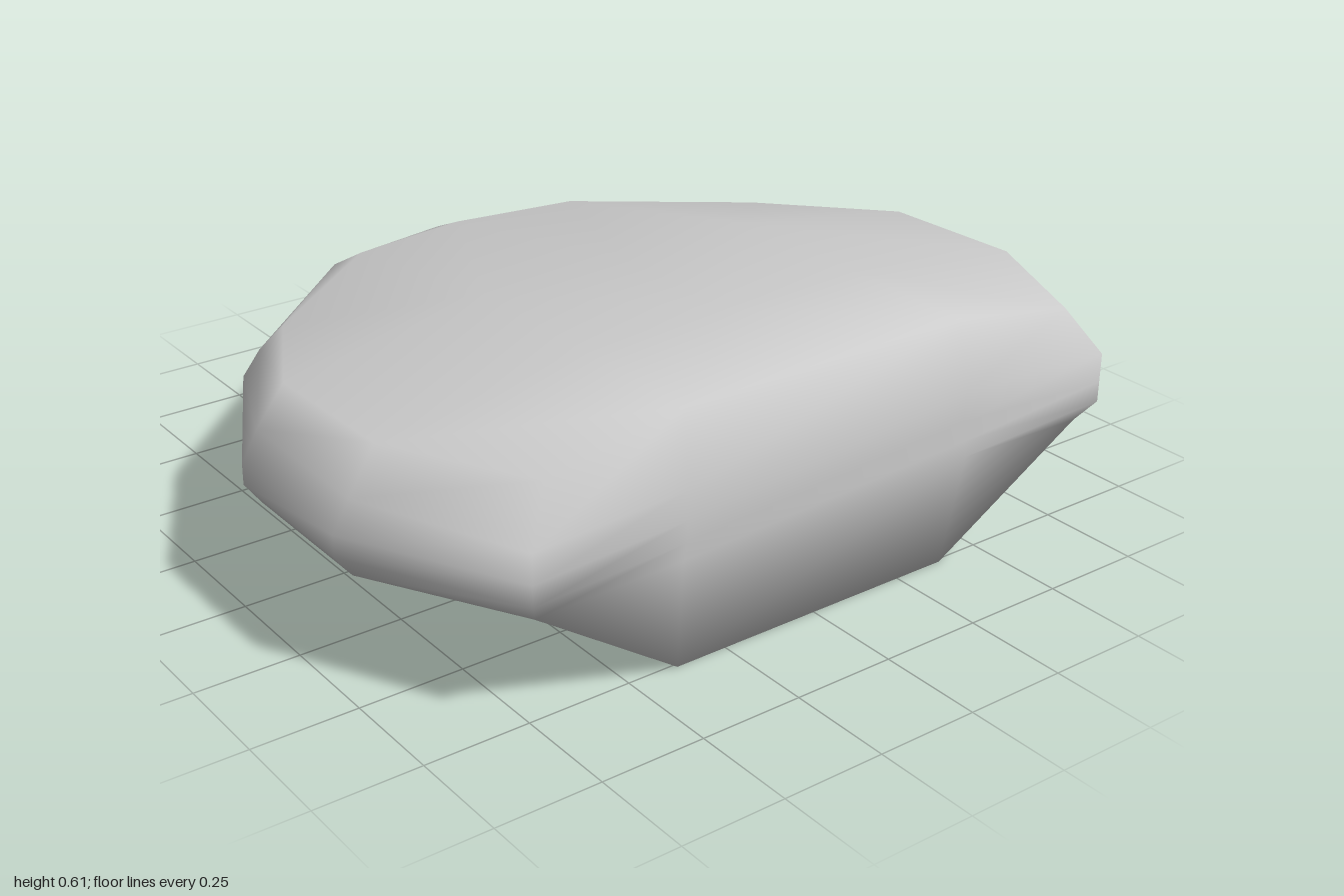
import * as THREE from 'three';
import { mergeVertices } from 'three/addons/utils/BufferGeometryUtils.js';

// Half plan of the rim [x, z], from the front edge round to the back centre
const rim = [[0.39, 0.8], [0.79, 0.83], [1, 0.43], [1, 0.04], [0.79, -0.36], [0.37, -0.755], [0, -0.84]];

// Rim outline at height y, drawn in towards the middle; the front edge stays put
const rimRing = (y, inX, inBack) =>
  rim.map(([x, z], i) => [i < 2 ? x : x * inX, y, z < 0 ? z * inBack : z]);

// Flat panel outline that the sloping crown and underside rise or fall to
const panel = (y, front) => [front, front, 0.42, 0.04, 0.04, 0.04, 0.04].map((z, i) => [i < 6 ? 0.38 : 0, y, z]);

// Complete a half ring by mirroring it across x = 0
const mirror = (half) => [...half, ...half.slice(0, 6).reverse().map(([x, y, z]) => [-x, y, z])];

// Skin stacked rings and close both ends with fans
function skin(rings) {
  const n = rings[0].length;
  const pos = rings.flat(2);
  const index = [];
  const add = (a, b, c) => {
    const p = [a, b, c].map((i) => new THREE.Vector3().fromArray(pos, i * 3));
    if (new THREE.Triangle(...p).getArea() > 1e-6) index.push(a, b, c);
  };
  for (let r = 0; r < rings.length - 1; r++) {
    for (let j = 0; j < n; j++) {
      const a = r * n + j, b = r * n + (j + 1) % n;
      add(a, b, b + n);
      add(a, b + n, a + n);
    }
  }
  const last = (rings.length - 1) * n;
  const low = pos.length / 3, high = low + 1;
  pos.push(0, rings[0][0][1], 0.42, 0, rings[rings.length - 1][0][1], 0.42);
  for (let j = 0; j < n; j++) {
    const k = (j + 1) % n;
    add(low, k, j);
    add(high, last + j, last + k);
  }
  let g = new THREE.BufferGeometry();
  g.setAttribute('position', new THREE.Float32BufferAttribute(pos, 3));
  g.setIndex(index);
  g = mergeVertices(g, 1e-4);
  g.computeVertexNormals();
  return g;
}

export function createModel() {
  const group = new THREE.Group();
  group.name = 'roundedSlab';

  // Lower lip: tucked in at the front corners
  const lowerLip = rimRing(0.265, 0.96, 0.92);
  lowerLip[0] = [0.4, 0.28, 0.8];
  lowerLip[1] = [0.76, 0.265, 0.79];

  // Shoulder where the side turns into the crown
  const shoulder = [
    [0.38, 0.61, 0.77], [0.72, 0.55, 0.77], [0.89, 0.54, 0.42], [0.89, 0.53, 0.04],
    [0.7, 0.49, -0.32], [0.32, 0.487, -0.62], [0, 0.485, -0.67],
  ];

  const rings = [
    panel(0, 0.76),
    lowerLip,
    rimRing(0.32, 1, 1),
    rimRing(0.37, 1, 1),
    rimRing(0.44, 0.96, 0.92),
    shoulder,
    panel(0.61, 0.77),
  ].map(mirror);

  const body = new THREE.Mesh(skin(rings), new THREE.MeshStandardMaterial({ color: 0xcccccc }));
  body.name = 'body';
  group.add(body);
  return group;
}
